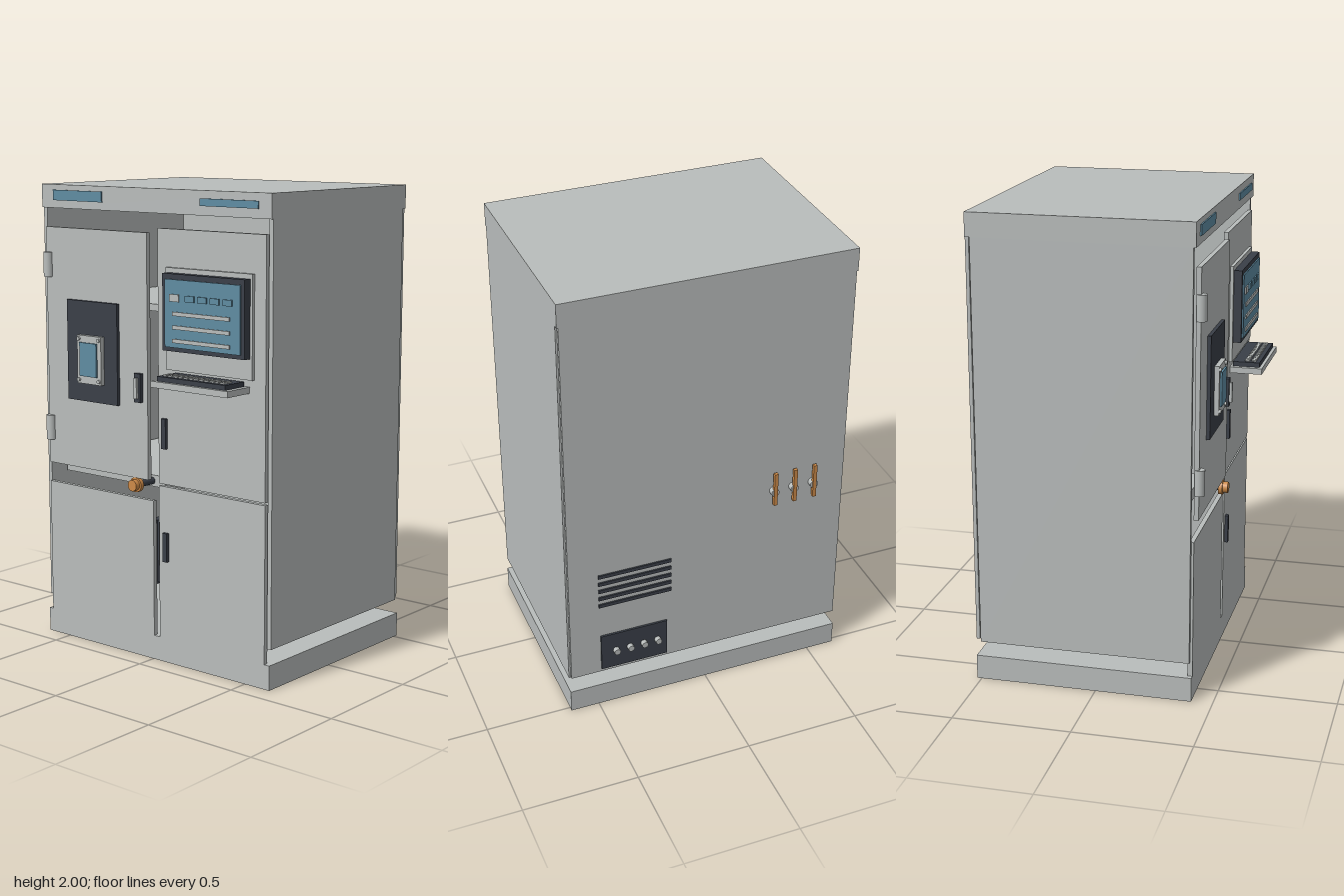
import * as THREE from 'three';

const mat = (name, color) => Object.assign(new THREE.MeshStandardMaterial({ color }), { name });

export function createModel() {
  const root = new THREE.Group();
  root.name = 'controlCabinet';
  const grey = mat('panelGrey', 0xb9bdbc);
  const dark = mat('darkTrim', 0x3a3f48);
  const blue = mat('displayBlue', 0x5f8ca2);
  const orange = mat('signalOrange', 0xcd8a48);

  // box given by its limits on each axis
  const box = (name, m, x0, x1, y0, y1, z0, z1, parent = root) => {
    const mesh = new THREE.Mesh(new THREE.BoxGeometry(x1 - x0, y1 - y0, z1 - z0), m);
    mesh.position.set((x0 + x1) / 2, (y0 + y1) / 2, (z0 + z1) / 2);
    mesh.name = name;
    parent.add(mesh);
    return mesh;
  };
  // round part lying along z
  const disc = (name, m, x, y, r, z0, z1, parent = root) => {
    const geo = new THREE.CylinderGeometry(r, r, z1 - z0, 20).rotateX(Math.PI / 2);
    const mesh = new THREE.Mesh(geo, m);
    mesh.position.set(x, y, (z0 + z1) / 2);
    mesh.name = name;
    parent.add(mesh);
    return mesh;
  };
  const group = (name) => {
    const g = new THREE.Group();
    g.name = name;
    root.add(g);
    return g;
  };

  // hollow shell
  box('base', grey, -0.626, 0.626, 0, 0.105, -0.52, 0.41);
  box('topCap', grey, -0.626, 0.626, 1.9, 2, -0.52, 0.41);
  for (const s of [-1, 1]) {
    const x = s * 0.616;
    box('sidePanel', grey, x - 0.01, x + 0.01, 0.17, 1.9, -0.5, 0.4);
  }
  box('backPanel', grey, -0.62, 0.62, 0.18, 1.9, -0.52, -0.505);

  // inner shelves and finned unit
  box('upperShelf', grey, -0.6, -0.01, 1.47, 1.5, -0.5, 0.23);
  box('lowerShelf', grey, -0.59, -0.01, 0.73, 0.78, -0.5, 0.32);
  const unit = group('finnedUnit');
  box('unitCore', dark, -0.45, -0.12, 0.155, 0.45, -0.28, -0.08, unit);
  for (let i = 0; i < 12; i++) {
    const x = -0.45 + i * 0.029;
    box('fin', dark, x, x + 0.011, 0.145, 0.45, -0.29, -0.07, unit);
  }

  // front panels and doors
  box('lowerLeftPanel', grey, -0.605, 0.005, 0.1, 0.695, 0.39, 0.41);
  box('lowerRightDoor', grey, 0.037, 0.6, 0.1, 0.766, 0.39, 0.41);
  box('upperRightDoor', grey, 0.037, 0.6, 0.776, 1.84, 0.39, 0.41);
  box('chamberDoor', grey, -0.59, -0.01, 0.785, 1.82, 0.405, 0.425);

  // nameplates on the cap
  box('leftNameplate', blue, -0.555, -0.27, 1.933, 1.977, 0.41, 0.416);
  box('rightNameplate', blue, 0.267, 0.563, 1.938, 1.968, 0.41, 0.416);

  // door hinges
  for (const [y0, y1] of [[0.89, 0.998], [1.605, 1.712]]) {
    const hinge = new THREE.Mesh(new THREE.CylinderGeometry(0.022, 0.022, y1 - y0, 20), grey);
    hinge.position.set(-0.579, (y0 + y1) / 2, 0.425);
    hinge.name = 'hinge';
    root.add(hinge);
  }

  // viewing window with corner screws
  const win = group('viewingWindow');
  box('windowSurround', dark, -0.457, -0.167, 1.085, 1.516, 0.425, 0.44, win);
  box('windowFrame', grey, -0.38, -0.242, 1.165, 1.372, 0.44, 0.46, win);
  box('windowGlass', blue, -0.36, -0.263, 1.198, 1.342, 0.46, 0.468, win);
  for (const sx of [-1, 1]) for (const sy of [-1, 1])
    disc('screw', grey, -0.311 + sx * 0.058, 1.269 + sy * 0.088, 0.008, 0.46, 0.468, win);

  // handles
  box('chamberHandle', dark, -0.07, -0.036, 1.113, 1.235, 0.425, 0.443);
  box('chamberGrip', grey, -0.061, -0.046, 1.13, 1.217, 0.443, 0.455);
  box('upperHandle', dark, 0.062, 0.086, 0.928, 1.056, 0.41, 0.424);
  box('lowerHandle', dark, 0.066, 0.09, 0.444, 0.568, 0.41, 0.424);

  // push button
  disc('buttonStem', dark, -0.08, 0.755, 0.015, 0.32, 0.41);
  disc('buttonCollar', orange, -0.08, 0.755, 0.032, 0.41, 0.428);
  disc('buttonHead', orange, -0.08, 0.755, 0.024, 0.428, 0.45);

  // monitor
  const monitor = group('monitor');
  box('monitorMount', grey, 0.093, 0.543, 1.265, 1.685, 0.41, 0.424, monitor);
  box('monitorBezel', dark, 0.105, 0.532, 1.35, 1.665, 0.424, 0.459, monitor);
  box('screen', blue, 0.122, 0.514, 1.367, 1.643, 0.459, 0.465, monitor);
  box('screenBadge', grey, 0.15, 0.2, 1.554, 1.584, 0.465, 0.47, monitor);
  for (const y of [1.395, 1.45, 1.505])
    box('screenLine', grey, 0.166, 0.463, y - 0.008, y + 0.008, 0.465, 0.47, monitor);
  for (let i = 0; i < 4; i++) {
    const x = 0.235 + i * 0.065;
    box('screenTile', blue, x, x + 0.045, 1.557, 1.582, 0.465, 0.471, monitor);
  }

  // keyboard on its tray
  const keyboard = group('keyboard');
  box('tray', grey, 0.12, 0.52, 1.21, 1.236, 0.41, 0.55, keyboard);
  box('keyboardBody', dark, 0.141, 0.498, 1.236, 1.256, 0.42, 0.536, keyboard);
  for (let row = 0; row < 2; row++) for (let i = 0; i < 12; i++) {
    const x = 0.168 + i * 0.0272, z = 0.48 + row * 0.028;
    box('key', grey, x - 0.01, x + 0.01, 1.256, 1.262, z - 0.01, z + 0.01, keyboard);
  }

  // rear vent slits
  for (let i = 0; i < 5; i++) {
    const y = 0.54 + i * 0.038;
    box('ventSlit', dark, 0.165, 0.49, y - 0.008, y + 0.008, -0.527, -0.52);
  }

  // rear connector plate
  const connectors = group('connectorPlate');
  box('plate', dark, 0.185, 0.485, 0.198, 0.376, -0.529, -0.52, connectors);
  for (let i = 0; i < 4; i++)
    disc('connector', grey, 0.23 + i * 0.063, 0.288, 0.014, -0.55, -0.529, connectors);

  // rear valve levers
  for (const x of [-0.475, -0.385, -0.296]) {
    const valve = group('valve');
    disc('valveBoss', grey, x, 0.93, 0.018, -0.545, -0.52, valve);
    box('valveLever', orange, x - 0.008, x + 0.008, 0.87, 1.027, -0.55, -0.535, valve);
  }
  return root;
}
